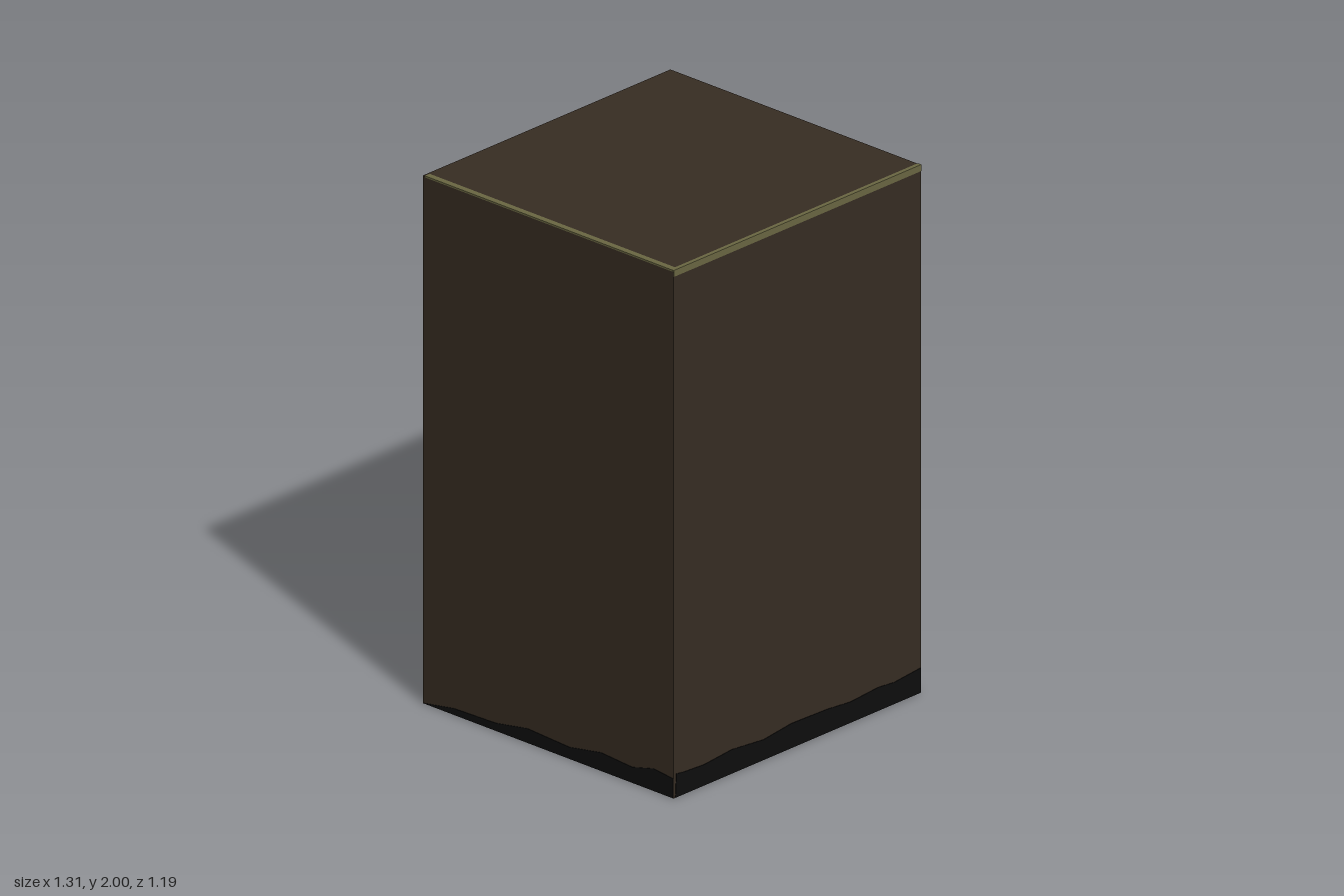
import * as THREE from 'three';

const material = (name, color) => {
  const m = new THREE.MeshStandardMaterial({ color });
  m.name = name;
  return m;
};

export function createModel() {
  const brown = material('brown', 0x372d23);
  const black = material('black', 0x0d0d0d);
  const olive = material('olive', 0x6a6742);
  const glass = material('pale grey', 0xc8c8c8);

  const group = new THREE.Group();
  group.name = 'cabinet';

  const add = (name, geometry, mat) => {
    const mesh = new THREE.Mesh(geometry, mat);
    mesh.name = name;
    group.add(mesh);
    return mesh;
  };
  // Box given by its limits on each axis
  const box = (name, x0, x1, y0, y1, z0, z1, mat) => {
    const mesh = add(name, new THREE.BoxGeometry(x1 - x0, y1 - y0, z1 - z0), mat);
    mesh.position.set((x0 + x1) / 2, (y0 + y1) / 2, (z0 + z1) / 2);
    return mesh;
  };
  // Outline from [u, v] points
  const outline = (pts) => new THREE.Shape(pts.map(([u, v]) => new THREE.Vector2(u, v)));
  const rect = (u0, u1, v0, v1) => [[u0, v0], [u1, v0], [u1, v1], [u0, v1]];
  const extrude = (shape, depth) =>
    new THREE.ExtrudeGeometry(shape, { depth, bevelEnabled: false, curveSegments: 6 });
  // Plate on the door side: u runs towards -z, thickness runs from x towards +x
  const sidePlate = (name, shape, x, depth, mat) => {
    const mesh = add(name, extrude(shape, depth).rotateY(Math.PI / 2), mat);
    mesh.position.x = x;
    return mesh;
  };

  // Cabinet: outer limits, open recess underneath
  const X0 = -0.653, X1 = 0.595, Z0 = -0.597, Z1 = 0.595, top = 1.998;
  const recess = 0.38, ix0 = -0.635, ix1 = 0.56, iz0 = -0.54, iz1 = 0.577;
  // Material order: +x, -x, +y, -y, +z, -z
  box('cabinetBody', X0, X1, recess, top, Z0, Z1, [black, brown, brown, glass, brown, black]);
  box('baseWallRight', ix1, X1, 0, recess, Z0, Z1, [black, olive, black, black, brown, black]);
  box('baseWallLeft', X0, ix0, 0, recess, Z0, Z1, [olive, brown, black, black, brown, black]);
  box('baseWallFront', ix0, ix1, 0, recess, iz1, Z1, [olive, olive, olive, black, brown, olive]);
  box('baseWallBack', ix0, ix1, 0, recess, Z0, iz0, [olive, olive, olive, black, olive, black]);

  // Pale trim along the top edges
  box('topTrimFront', X0, X1, 1.975, 2, Z1 - 0.004, Z1 + 0.002, olive);
  box('topTrimFrontLip', X0, X1, top - 0.004, 2, Z1 - 0.014, Z1 + 0.002, olive);
  box('topTrimLeft', X0 - 0.002, X0 + 0.022, top - 0.004, 2, Z0 + 0.01, Z1, olive);
  box('topTrimRight', X1 - 0.004, X1 + 0.002, 1.982, 1.996, Z0, Z1, olive);

  // Worn dark band along the foot of the front
  const frontBand = outline([
    [-0.645, 0.001], [0.594, 0.001], [0.594, 0.095], [0.46, 0.083], [0.38, 0.09], [0.24, 0.08],
    [0.12, 0.09], [-0.06, 0.094], [-0.2, 0.078], [-0.36, 0.092], [-0.5, 0.08], [-0.6, 0.085], [-0.64, 0.09],
  ]);
  add('footBandFront', extrude(frontBand, 0.003), black).position.z = Z1 - 0.001;

  // Same band on the left, fading out towards the back
  const leftBand = outline([
    [Z0, 0.001], [Z1, 0.001], [Z1, 0.075], [0.5, 0.085], [0.4, 0.06], [0.25, 0.07],
    [0.1, 0.045], [-0.1, 0.055], [-0.25, 0.03], [-0.45, 0.025],
  ]);
  add('footBandLeft', extrude(leftBand, 0.003).rotateY(-Math.PI / 2), black).position.x = X0 + 0.001;

  // Door frame around a sunken glass pane
  const frame = outline(rect(-0.505, 0.52, 0.26, 1.93));
  frame.holes.push(new THREE.Path(outline(rect(-0.42, 0.472, 0.32, 1.895)).getPoints()));
  sidePlate('doorFrame', frame, X1 - 0.001, 0.031, [olive, brown]);
  sidePlate('doorGlass', outline(rect(-0.42, 0.457, 0.32, 1.895)), X1 - 0.001, 0.006, glass);

  // Handle: tapered grip, dark above and brown below
  const handleTop = outline([[-0.505, 1.31], [-0.467, 1.31], [-0.455, 1.445], [-0.505, 1.445]]);
  const handleBottom = outline([[-0.505, 1.15], [-0.48, 1.15], [-0.467, 1.31], [-0.505, 1.31]]);
  sidePlate('handleTop', handleTop, 0.624, 0.029, black);
  sidePlate('handleBottom', handleBottom, 0.624, 0.029, brown);

  // Ventilation grille with upright oval slots: [u, centre height, half height]
  const grille = outline(rect(-0.385, 0.408, 0.02, 0.185));
  const slots = [
    [-0.36, 0.105, 0.07], [-0.305, 0.11, 0.06], [-0.25, 0.1, 0.05], [-0.19, 0.105, 0.045], [-0.13, 0.1, 0.035],
    [-0.07, 0.103, 0.075], [0.04, 0.103, 0.075], [0.1, 0.1, 0.035], [0.155, 0.105, 0.065],
    [0.21, 0.12, 0.05], [0.265, 0.12, 0.04], [0.315, 0.12, 0.05], [0.37, 0.12, 0.055],
  ];
  for (const [u, v, h] of slots) {
    grille.holes.push(new THREE.Path().absellipse(u, v, 0.005, h, 0, Math.PI * 2));
  }
  sidePlate('grille', grille, X1 - 0.001, 0.008, olive);

  // Brown stains on the grille
  const stains = [
    [[-0.27, 0.015], [-0.07, 0.015], [-0.08, 0.045], [-0.16, 0.055], [-0.2, 0.03]],
    [[0.17, 0.015], [0.405, 0.015], [0.405, 0.06], [0.36, 0.03], [0.31, 0.05], [0.22, 0.045]],
    [[0.26, 0.075], [0.3, 0.065], [0.335, 0.08], [0.32, 0.1], [0.27, 0.095]],
  ];
  stains.forEach((pts, i) => sidePlate(`grilleStain${i + 1}`, outline(pts), X1 + 0.004, 0.005, brown));

  return group;
}
